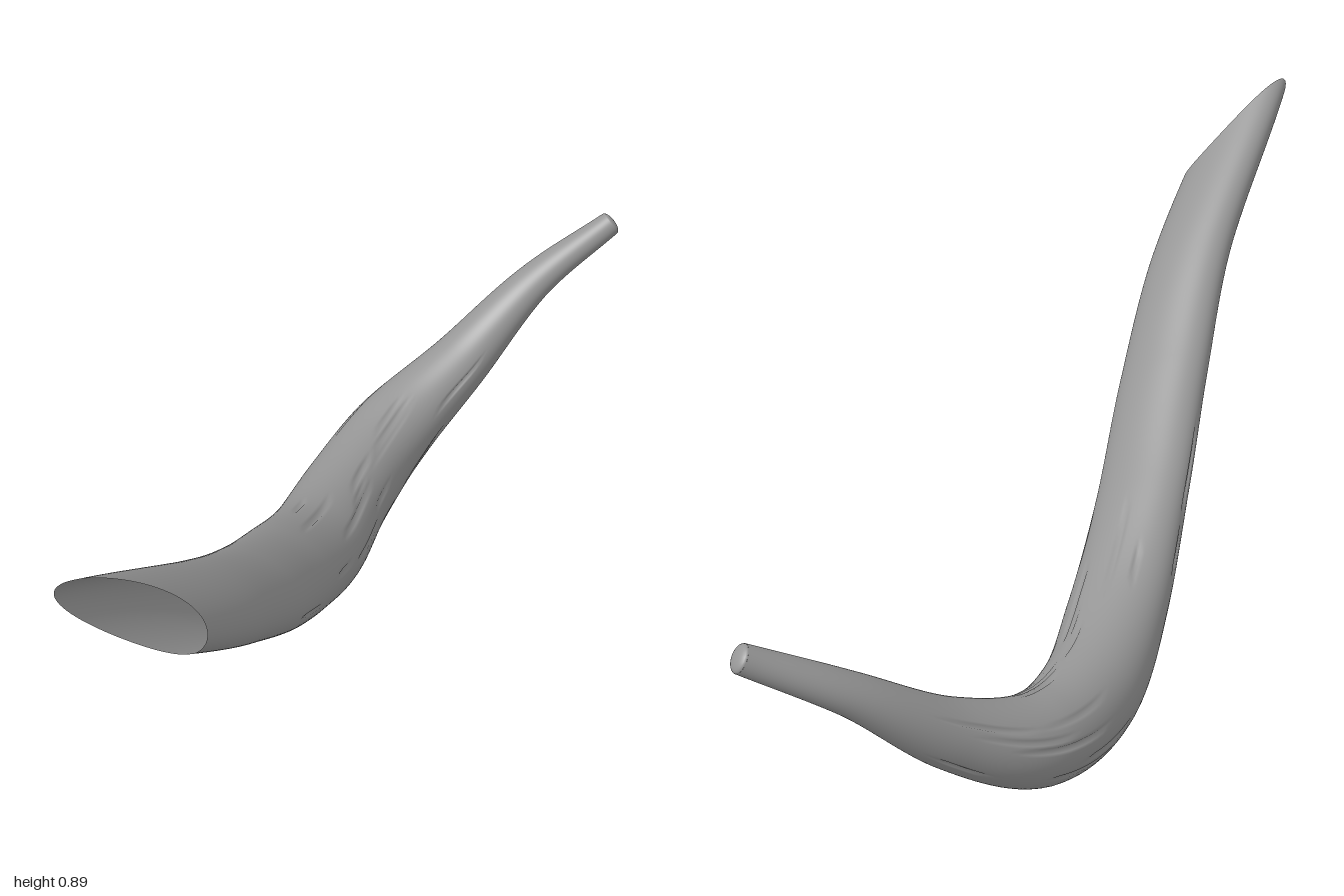
import * as THREE from 'three';

// Centre line from the blunt tip to the hollow mouth: x, y, z, half width, half height
const STATIONS = [
  [-0.315, 0.523, -0.977, 0.028, 0.028],
  [-0.375, 0.405, -0.8, 0.047, 0.04],
  [-0.406, 0.243, -0.6, 0.072, 0.068],
  [-0.404, 0.138, -0.4, 0.095, 0.094],
  [-0.315, 0.105, -0.2, 0.102, 0.104],
  [-0.165, 0.15, 0, 0.106, 0.093],
  [-0.005, 0.27, 0.2, 0.101, 0.085],
  [0.163, 0.42, 0.4, 0.098, 0.079],
  [0.315, 0.583, 0.6, 0.092, 0.071],
  [0.465, 0.779, 0.868, 0.087, 0.063],
];
const RINGS = 130, SIDES = 96;

function seeded(seed) {
  return () => (seed = (seed * 16807) % 2147483647) / 2147483647;
}

// Narrow lengthwise cracks: position along the horn, side, half length and depth
function makeCracks() {
  const rnd = seeded(73);
  return Array.from({ length: 44 }, () => ({
    u: 0.2 + rnd() * 0.55,
    side: Math.floor(rnd() * SIDES),
    half: 0.02 + rnd() * 0.04,
    depth: 0.004 + rnd() * 0.004,
  }));
}

function hornGeometry(path) {
  const radii = new THREE.CatmullRomCurve3(STATIONS.map(s => new THREE.Vector3(s[3], s[4], 0)));
  const cracks = makeCracks();
  const up = new THREE.Vector3(0, 1, 0);
  const pos = [], index = [];

  for (let i = 0; i <= RINGS; i++) {
    const u = i / RINGS;
    const t = path.getUtoTmapping(u);
    const c = path.getPoint(t), tan = path.getTangent(t), r = radii.getPoint(t);
    const side = new THREE.Vector3().crossVectors(up, tan).normalize();
    const top = new THREE.Vector3().crossVectors(tan, side);
    // The oval section leans over on the long arm
    const lean = -0.42 * THREE.MathUtils.smoothstep(u, 0.35, 0.65);
    // The mouth is cut aslant to a leaf-like point on one flank
    const ramp = Math.max(0, (u - 0.7) / 0.3);
    for (let j = 0; j < SIDES; j++) {
      const a = (j / SIDES) * Math.PI * 2;
      let dent = 0;
      for (const k of cracks) {
        if (k.side === j) dent = Math.max(dent, k.depth * (1 - ((u - k.u) / k.half) ** 2));
      }
      const near = (1 + Math.cos(a - 2.9)) / 2;
      const p = c.clone()
        .addScaledVector(side, Math.cos(a) * (r.x - dent))
        .addScaledVector(top, Math.sin(a + lean) * (r.y - dent))
        .addScaledVector(tan, 0.137 * (2 * near ** 1.8 - 1) * ramp);
      pos.push(p.x, p.y, p.z);
    }
  }
  for (let i = 0; i < RINGS; i++) {
    for (let j = 0; j < SIDES; j++) {
      const a = i * SIDES + j, b = i * SIDES + (j + 1) % SIDES;
      index.push(a, b, a + SIDES, b, b + SIDES, a + SIDES);
    }
  }
  const g = new THREE.BufferGeometry();
  g.setAttribute('position', new THREE.Float32BufferAttribute(pos, 3));
  g.setIndex(index);
  g.computeVertexNormals();
  return g;
}

export function createModel() {
  const group = new THREE.Group();
  group.name = 'horn';
  const material = new THREE.MeshStandardMaterial({ color: 0x979797, side: THREE.DoubleSide });
  const path = new THREE.CatmullRomCurve3(STATIONS.map(s => new THREE.Vector3(s[0], s[1], s[2])));

  // Curved hollow body
  const body = new THREE.Mesh(hornGeometry(path), material);
  body.name = 'hornBody';
  group.add(body);

  // Blunt rounded end
  const cap = new THREE.Mesh(new THREE.SphereGeometry(0.028, 20, 8, 0, Math.PI * 2, 0, Math.PI / 2), material);
  cap.name = 'bluntTip';
  cap.scale.y = 0.4;
  cap.position.copy(path.getPoint(0));
  cap.quaternion.setFromUnitVectors(new THREE.Vector3(0, 1, 0), path.getTangent(0).negate());
  group.add(cap);

  return group;
}
